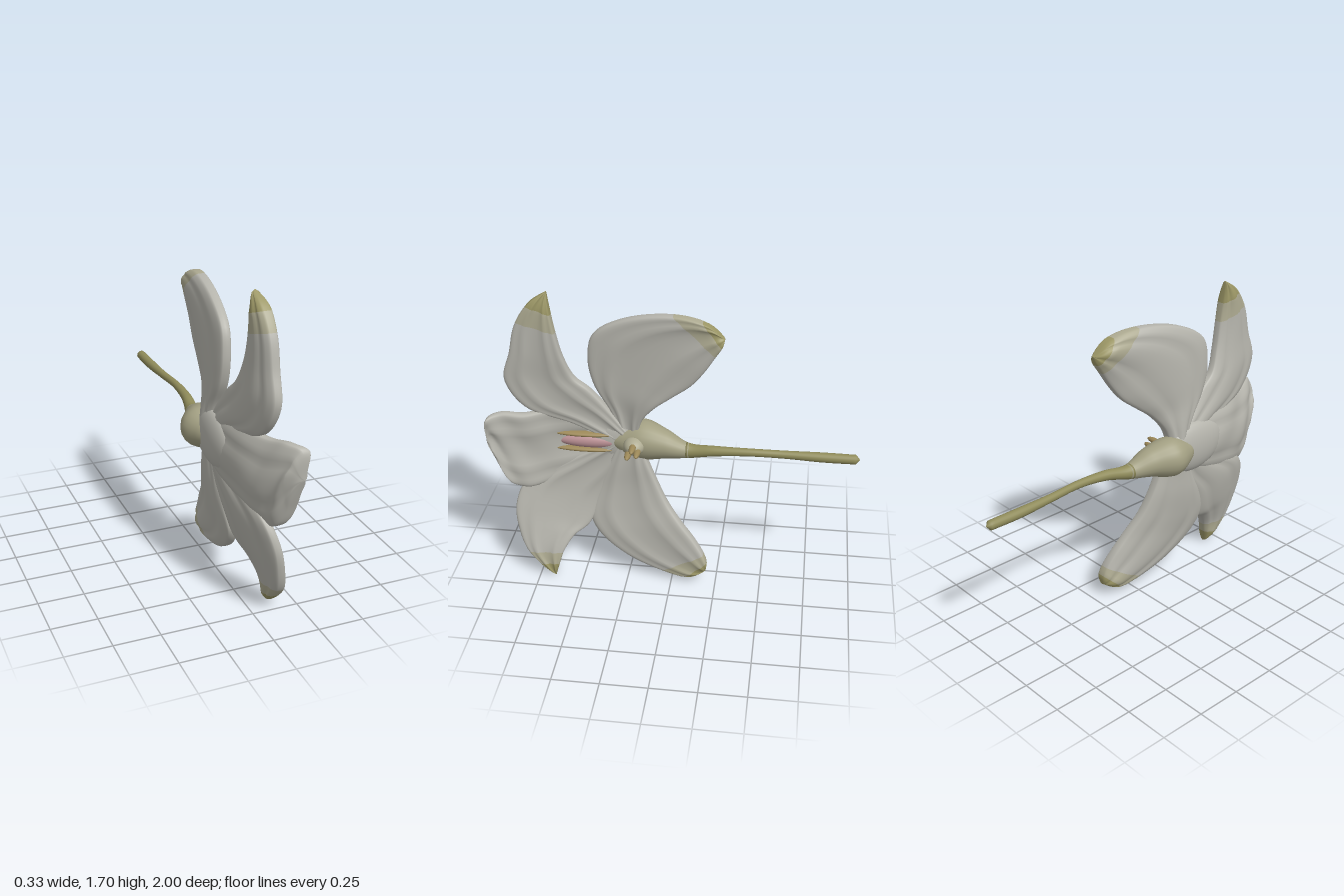
import * as THREE from 'three';

const curve = pts => new THREE.CatmullRomCurve3(pts.map(p => new THREE.Vector3(p[0], p[1], p[2])));
const mat = color => new THREE.MeshStandardMaterial({ color });

// Closed skin through rings; f(u, angle) gives a point, u runs along the part
function loft(rows, cols, f) {
  const pos = [], idx = [];
  for (let i = 0; i <= rows; i++)
    for (let j = 0; j < cols; j++) pos.push(...f(i / rows, (j / cols) * Math.PI * 2));
  for (let i = 0; i < rows; i++)
    for (let j = 0; j < cols; j++) {
      const a = i * cols + j, b = i * cols + (j + 1) % cols;
      idx.push(a, b, a + cols, b, b + cols, a + cols);
    }
  const g = new THREE.BufferGeometry();
  g.setAttribute('position', new THREE.Float32BufferAttribute(pos, 3));
  g.setIndex(idx);
  g.computeVertexNormals();
  return g;
}

// Petal between a left and a right edge (seen from the face, base to tip)
function petal(name, left, right, o, mats) {
  const L = curve(left), R = curve(right), rows = 48, cols = 48;
  const g = loft(rows, cols, (u, a) => {
    const l = L.getPoint(u), r = R.getPoint(u);
    const s = Math.cos(a), w = Math.sin(a);
    const p = l.clone().add(r).multiplyScalar(0.5).addScaledVector(l.clone().sub(r), s / 2);
    const taper = Math.min(1, Math.sqrt((1 - u) * 6));
    const thick = o.thick * taper * Math.sign(w) * Math.pow(Math.abs(w), 0.45);
    const groove = -0.012 * Math.exp(-s * s * 60) * taper;              // midrib
    const veins = 0.005 * Math.cos(s * 13) * (1 - s * s) * taper;
    const ruffle = o.ruffle * Math.sin(u * 22 + s * 4) * u * taper;
    const cup = -o.cup * (1 - s * s) * taper;
    return [p.x + thick + groove + veins + ruffle + cup, p.y, p.z];
  });
  // Colour bands from base to tip
  const cuts = [0, ...o.bands, 1].map(t => Math.round(rows * t) * cols * 6);
  for (let i = 0; i + 1 < cuts.length; i++) g.addGroup(cuts[i], cuts[i + 1] - cuts[i], i);
  const m = new THREE.Mesh(g, mats);
  m.name = name;
  return m;
}

function blob(name, p, s, material) {
  const m = new THREE.Mesh(new THREE.SphereGeometry(1, 24, 16), material);
  m.name = name;
  m.position.set(...p);
  m.scale.set(...s);
  return m;
}

export function createModel() {
  const flower = new THREE.Group();
  flower.name = 'flower';
  const white = mat(0xb6b5ad), cream = mat(0xaeab92), olive = mat(0x9c9766), green = mat(0x8f8b5a);
  const pink = mat(0xba9094), gold = mat(0x9c8858);
  const skin = [white, cream, olive];

  flower.add(
    petal('upperBackPetal',
      [[-0.03, 0.86, 0.29], [-0.035, 1.0, 0.34], [-0.035, 1.16, 0.43], [-0.035, 1.31, 0.46], [-0.03, 1.45, 0.43],
        [-0.015, 1.55, 0.27], [0.015, 1.6, 0], [0.04, 1.57, -0.18], [0.05, 1.5, -0.27]],
      [[-0.03, 0.86, 0.2], [-0.01, 0.97, 0.17], [0.01, 1.06, 0.1], [0.02, 1.14, 0], [0.03, 1.22, -0.1],
        [0.04, 1.31, -0.17], [0.045, 1.4, -0.225], [0.05, 1.46, -0.26], [0.05, 1.5, -0.27]],
      { thick: 0.044, cup: 0.015, ruffle: 0, bands: [0.76, 0.86] }, skin),
    petal('upperFrontPetal',
      [[-0.02, 0.82, 0.32], [-0.01, 0.93, 0.55], [0.02, 1.03, 0.8], [0.035, 1.2, 0.9], [0.04, 1.36, 0.86],
        [0.04, 1.52, 0.82], [0.035, 1.64, 0.74], [0.02, 1.7, 0.65]],
      [[-0.02, 0.9, 0.26], [-0.02, 1.02, 0.35], [-0.01, 1.14, 0.45], [0, 1.21, 0.53], [0.02, 1.33, 0.58],
        [0.03, 1.46, 0.61], [0.03, 1.6, 0.635], [0.02, 1.7, 0.65]],
      { thick: 0.04, cup: 0.01, ruffle: 0, bands: [0.72, 0.84] }, skin),
    petal('lip',
      [[-0.03, 0.74, 0.25], [-0.03, 0.64, 0.45], [0.01, 0.58, 0.65], [0.05, 0.54, 0.8], [0.08, 0.57, 0.88],
        [0.11, 0.7, 0.94], [0.14, 0.85, 0.995]],
      [[-0.03, 0.92, 0.25], [-0.02, 1.0, 0.45], [0, 1.01, 0.65], [0.05, 1.0, 0.8], [0.1, 1.02, 0.92],
        [0.135, 1.0, 0.99], [0.14, 0.85, 0.995]],
      { thick: 0.042, cup: 0.025, ruffle: 0.008, bands: [] }, [white]),
    petal('lowerFrontPetal',
      [[-0.02, 0.76, 0.26], [-0.02, 0.62, 0.31], [-0.01, 0.47, 0.4], [0.03, 0.31, 0.47], [0.07, 0.25, 0.55],
        [0.11, 0.16, 0.61], [0.13, 0.07, 0.64], [0.14, 0, 0.66]],
      [[-0.02, 0.82, 0.34], [-0.01, 0.7, 0.58], [0.03, 0.57, 0.82], [0.07, 0.43, 0.88], [0.1, 0.28, 0.865],
        [0.12, 0.16, 0.82], [0.13, 0.06, 0.73], [0.14, 0, 0.66]],
      { thick: 0.04, cup: 0.01, ruffle: 0, bands: [0.72, 0.84] }, skin),
    petal('lowerBackPetal',
      [[-0.02, 0.84, 0.18], [0.0, 0.72, 0.14], [0.01, 0.6, 0.09], [0.03, 0.48, 0.03], [0.06, 0.37, -0.05],
        [0.08, 0.27, -0.13], [0.095, 0.19, -0.18], [0.1, 0.13, -0.2], [0.1, 0.08, -0.195]],
      [[-0.02, 0.82, 0.3], [-0.02, 0.67, 0.37], [-0.02, 0.52, 0.43], [0, 0.36, 0.47], [0.02, 0.25, 0.42],
        [0.045, 0.13, 0.27], [0.07, 0.05, 0.06], [0.09, 0.03, -0.1], [0.1, 0.08, -0.195]],
      { thick: 0.046, cup: 0.01, ruffle: 0, bands: [0.76, 0.86] }, skin),
  );

  // Throat where the petals meet
  flower.add(blob('throat', [-0.05, 0.83, 0.36], [0.065, 0.15, 0.22], white));
  flower.add(blob('throatStripe', [-0.01, 0.82, 0.47], [0.036, 0.04, 0.18], pink));
  for (const y of [0.775, 0.868])
    flower.add(blob('throatRidge', [-0.005, y, 0.5], [0.036, 0.016, 0.18], gold));

  // Central column with small anthers
  flower.add(blob('column', [0.03, 0.83, 0.21], [0.07, 0.05, 0.06], cream));
  for (const [y, z] of [[0.81, 0.235], [0.825, 0.185], [0.85, 0.21]])
    flower.add(blob('anther', [0.095, y, z], [0.06, 0.016, 0.018], gold));

  // Stem flaring into the flower base: [x, y, z, radius]
  const path = [[0.01, 0.82, -1, 0.026], [0.01, 0.82, -0.8, 0.027], [0.015, 0.825, -0.6, 0.022],
    [0.025, 0.83, -0.4, 0.022], [0.018, 0.82, -0.22, 0.029], [-0.005, 0.8, -0.08, 0.042],
    [-0.025, 0.82, 0.04, 0.08], [-0.055, 0.825, 0.17, 0.112], [-0.05, 0.825, 0.28, 0.08], [-0.04, 0.83, 0.36, 0.04]];
  const axis = curve(path), radius = curve(path.map((p, i) => [p[3], i * 0.1, 0]));
  const tube = (name, from, to, material) => {
    const g = loft(48, 20, (u, a) => {
      const k = from + (to - from) * u, p = axis.getPoint(k);
      const r = u === 0 || u === 1 ? 0 : radius.getPoint(k).x;
      return [p.x + r * Math.cos(a), p.y + r * Math.sin(a), p.z];
    });
    const m = new THREE.Mesh(g, material);
    m.name = name;
    flower.add(m);
  };
  tube('stem', 0, 0.58, green);
  tube('flowerBase', 0.54, 1, mat(0xa3a083));
  return flower;
}
